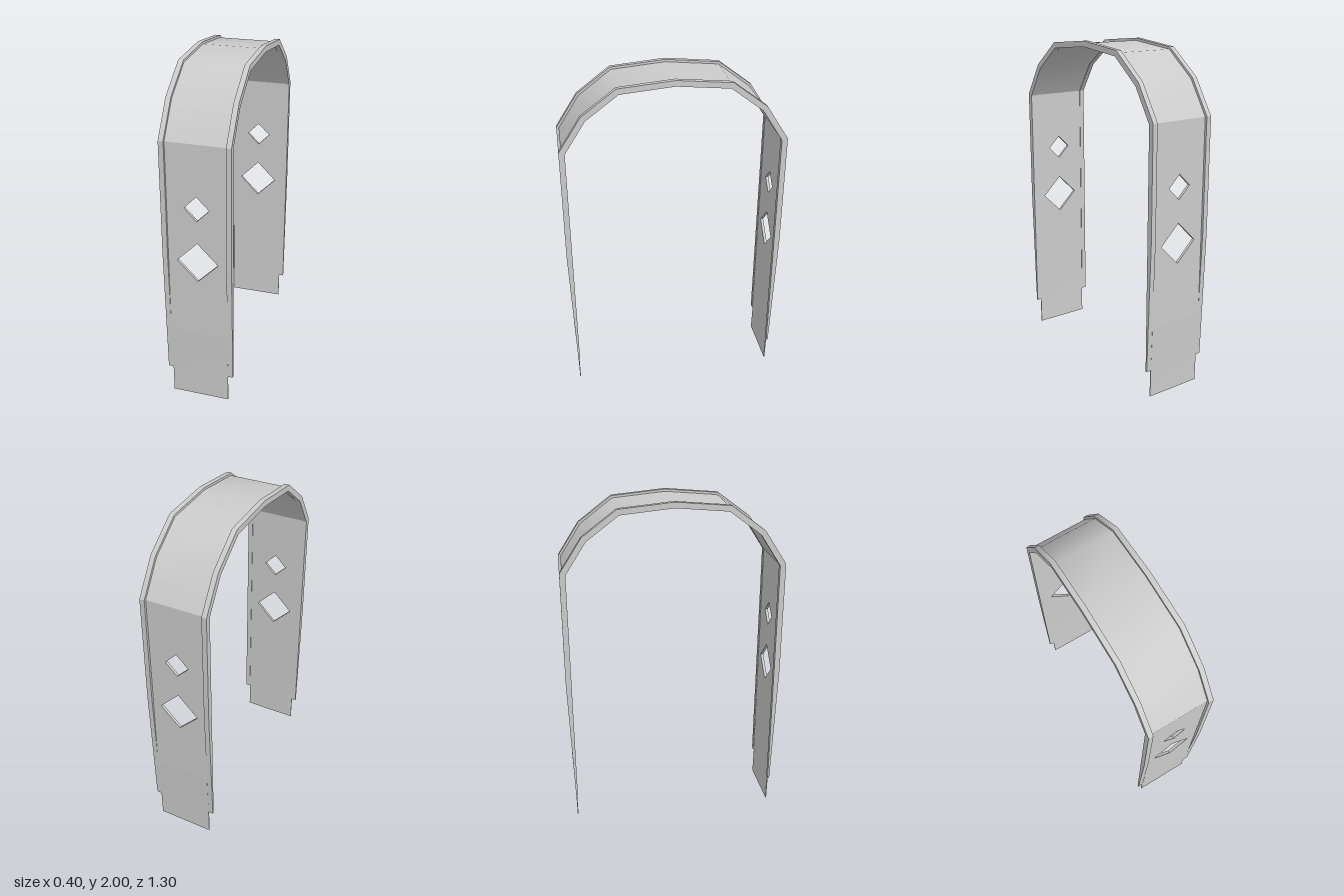
import * as THREE from 'three';
import { toCreasedNormals } from 'three/addons/utils/BufferGeometryUtils.js';

const material = new THREE.MeshStandardMaterial({ color: 0xcccccc });
const CREASE = 0.565;
const BAND_HALF = 0.172, RIM_WIDTH = 0.03;

// Outer line of the hoop in [z, y], from the front leg over the top to the back leg
const half = [[0.652, 0.95], [0.652, 1.62], [0.522, 1.82], [0.322, 1.97]];
const mirrored = (points) => points.map(([z, y]) => [-z, y]).reverse();
const hoop = [...half, [0, 2], ...mirrored(half)];

// Moves a path inward by d, mitred at the corners
function inset(path, d) {
  const normals = path.slice(1).map(([z, y], i) => {
    const dz = z - path[i][0], dy = y - path[i][1], l = Math.hypot(dz, dy);
    return [-dy / l, dz / l];
  });
  return path.map(([z, y], i) => {
    const a = normals[Math.max(i - 1, 0)], b = normals[Math.min(i, normals.length - 1)];
    const k = d / (1 + a[0] * b[0] + a[1] * b[1]);
    return [z + (a[0] + b[0]) * k, y + (a[1] + b[1]) * k];
  });
}

const toShape = (points) => new THREE.Shape(points.map(([a, b]) => new THREE.Vector2(a, b)));

// Extrudes a [z, y] outline along x, centred on x = 0
function sideExtrude(name, outline, width) {
  const geo = new THREE.ExtrudeGeometry(toShape(outline), { depth: width, bevelEnabled: false });
  geo.translate(0, 0, -width / 2).rotateY(-Math.PI / 2);
  const mesh = new THREE.Mesh(toCreasedNormals(geo, CREASE), material);
  mesh.name = name;
  return mesh;
}

const diamond = (y, r) => new THREE.Path(
  [[0, y - r], [-r, y], [0, y + r], [r, y]].map(([a, b]) => new THREE.Vector2(a, b)));

export function createModel() {
  const model = new THREE.Group();
  model.name = 'hoop';

  // Raised rims along both edges, tapering down the legs
  const foot = [[0.628, 0.17]], footInner = [[0.618, 0.17]];
  const rimOutline = [
    ...foot, ...hoop, ...mirrored(foot),
    ...[...footInner, ...inset(hoop, 0.034), ...mirrored(footInner)].reverse(),
  ];
  for (const side of [1, -1]) {
    const rim = sideExtrude(side > 0 ? 'leftRim' : 'rightRim', rimOutline, RIM_WIDTH);
    rim.position.x = side * (BAND_HALF + RIM_WIDTH / 2);
    model.add(rim);
  }

  // Recessed band over the arch
  const upper = hoop.map(([z, y], i) => [z, i === 0 || i === hoop.length - 1 ? 1.5 : y]);
  model.add(sideExtrude('archBand',
    [...inset(upper, 0.014), ...inset(upper, 0.031).reverse()], BAND_HALF * 2));

  for (const side of [1, -1]) {
    const leg = new THREE.Group();
    leg.name = side > 0 ? 'frontLeg' : 'backLeg';

    // Flat panel with two diamond openings
    const panel = toShape([[-BAND_HALF, 0.45], [BAND_HALF, 0.45], [BAND_HALF, 1.5], [-BAND_HALF, 1.5]]);
    panel.holes.push(diamond(0.917, 0.12), diamond(1.245, 0.073));
    const geo = new THREE.ExtrudeGeometry(panel, { depth: 0.017, bevelEnabled: false });
    const mesh = new THREE.Mesh(geo.translate(0, 0, 0.621), material);
    mesh.name = 'legPanel';
    leg.add(mesh);

    // Tapered lower end with the thin tab below the rims
    leg.add(sideExtrude('legTab', [
      [0.621, 0.45], [0.621, 0.17], [0.623, 0.17], [0.62, 0],
      [0.625, 0], [0.628, 0.17], [0.638, 0.45],
    ], BAND_HALF * 2));

    if (side < 0) leg.rotation.y = Math.PI;
    model.add(leg);
  }
  return model;
}
